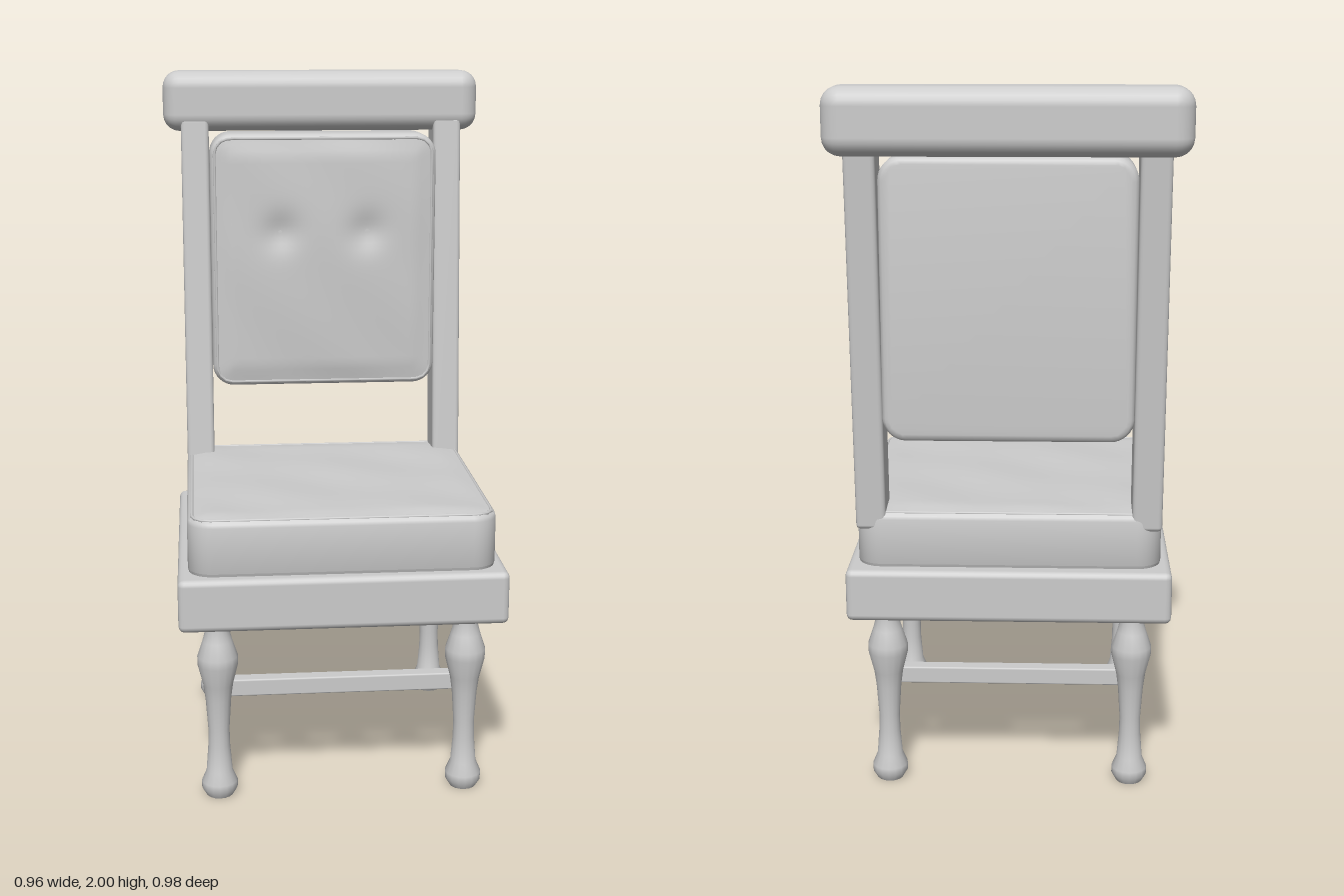
import * as THREE from 'three';
import { RoundedBoxGeometry } from 'three/addons/geometries/RoundedBoxGeometry.js';
import { toCreasedNormals } from 'three/addons/utils/BufferGeometryUtils.js';

const material = new THREE.MeshStandardMaterial({ color: 0xcccccc });

function addMesh(parent, name, geometry, x = 0, y = 0, z = 0) {
  const mesh = new THREE.Mesh(geometry, material);
  mesh.name = name;
  mesh.position.set(x, y, z);
  parent.add(mesh);
  return mesh;
}

function roundedRect(w, h, r) {
  const s = new THREE.Shape();
  const x = w / 2, y = h / 2;
  s.moveTo(-x + r, -y);
  s.lineTo(x - r, -y);
  s.absarc(x - r, -y + r, r, -Math.PI / 2, 0);
  s.lineTo(x, y - r);
  s.absarc(x - r, y - r, r, 0, Math.PI / 2);
  s.lineTo(-x + r, y);
  s.absarc(-x + r, y - r, r, Math.PI / 2, Math.PI);
  s.lineTo(-x, -y + r);
  s.absarc(-x + r, -y + r, r, Math.PI, Math.PI * 1.5);
  return s;
}

// Upholstered block facing +z: body from z = 0 to depth, piping and a soft, puffed face
function cushion(name, w, h, depth, bevel, radius, puff) {
  const group = new THREE.Group();
  group.name = name;
  const body = new THREE.ExtrudeGeometry(roundedRect(w - 2 * bevel, h - 2 * bevel, radius), {
    depth: depth - 2 * bevel, bevelSize: bevel, bevelThickness: bevel, bevelSegments: 3, curveSegments: 4,
  });
  addMesh(group, name + 'Body', toCreasedNormals(body, 0.7), 0, 0, bevel);

  const fw = w - 2 * bevel + 0.012, fh = h - 2 * bevel + 0.012;
  const edge = roundedRect(fw, fh, radius).getSpacedPoints(96).slice(0, -1)
    .map((p) => new THREE.Vector3(p.x, p.y, depth - 0.002));
  const path = new THREE.CatmullRomCurve3(edge, true);
  addMesh(group, name + 'Piping', new THREE.TubeGeometry(path, 128, 0.005, 6, true));

  // Grid pulled inside the rounded corners, then raised by the puff rule
  const face = new THREE.PlaneGeometry(fw, fh, 40, 40);
  const p = face.attributes.position;
  for (let i = 0; i < p.count; i++) {
    let x = p.getX(i), y = p.getY(i);
    const edgeGap = Math.min(fw / 2 - Math.abs(x), fh / 2 - Math.abs(y));
    const ox = Math.abs(x) - (fw / 2 - radius), oy = Math.abs(y) - (fh / 2 - radius);
    if (ox > 0 && oy > 0) {
      const k = Math.max(ox, oy) / Math.hypot(ox, oy);
      x = Math.sign(x) * (fw / 2 - radius + ox * k);
      y = Math.sign(y) * (fh / 2 - radius + oy * k);
    }
    p.setXYZ(i, x, y, depth + puff(x, y, Math.min(1, edgeGap / 0.05)));
  }
  face.computeVertexNormals();
  addMesh(group, name + 'Face', face);
  return group;
}

export function createModel() {
  const chair = new THREE.Group();
  chair.name = 'chair';

  // Seat frame
  addMesh(chair, 'seatFrame', new RoundedBoxGeometry(0.912, 0.15, 0.894, 2, 0.018), 0, 0.597, 0.04);

  // Seat cushion with faint diagonal creases
  const seat = cushion('seatCushion', 0.855, 0.82, 0.17, 0.02, 0.05,
    (x, y, e) => e * (0.006 + 0.003 * Math.sin(14 * (x + y)) * Math.cos(5 * (x - y))));
  seat.rotation.x = -Math.PI / 2;
  seat.position.set(0, 0.66, 0.045);
  chair.add(seat);

  // Upright back pad with two button dimples
  const dimple = (x, y) => Math.exp(-(x * x + y * y) / 0.0028);
  const back = cushion('backPad', 0.685, 0.77, 0.165, 0.02, 0.045, (x, y, e) =>
    e * (0.005 + 0.013 * Math.cos(x * 3.6) * Math.cos(y * 3.4) + 0.001 * Math.sin(18 * (x + y)))
    - 0.016 * (dimple(x - 0.13, y - 0.09) + dimple(x + 0.13, y - 0.09)));
  back.position.set(0, 1.433, -0.412);
  chair.add(back);

  // Raked back posts
  const post = new RoundedBoxGeometry(0.084, 1.08, 0.122, 2, 0.012);
  post.applyMatrix4(new THREE.Matrix4().set(1, 0, 0, 0, 0, 1, 0, 0, 0, -0.08, 1, 0, 0, 0, 0, 1));
  for (const s of [1, -1]) addMesh(chair, s > 0 ? 'leftPost' : 'rightPost', post, s * 0.385, 1.32, -0.344);

  // Crest rail
  addMesh(chair, 'crestRail', new RoundedBoxGeometry(0.96, 0.18, 0.168, 3, 0.05), 0, 1.91, -0.406);

  // Turned legs
  const profile = [
    [0, 0], [0.038, 0], [0.051, 0.022], [0.051, 0.042], [0.037, 0.075], [0.031, 0.15], [0.03, 0.2],
    [0.036, 0.29], [0.042, 0.335], [0.057, 0.395], [0.057, 0.42], [0.042, 0.465], [0.034, 0.495], [0.035, 0.53],
  ].map(([r, y]) => new THREE.Vector2(r, y));
  const leg = toCreasedNormals(new THREE.LatheGeometry(profile, 16), 0.9);
  for (const [side, x] of [['Left', 0.35], ['Right', -0.35]]) {
    addMesh(chair, 'front' + side + 'Leg', leg, x, 0, 0.39);
    addMesh(chair, 'back' + side + 'Leg', leg, x, 0, -0.308);
  }

  // Stretchers along the inner faces of the front and back leg pairs
  const stretcher = new RoundedBoxGeometry(0.7, 0.05, 0.044, 1, 0.005);
  addMesh(chair, 'frontStretcher', stretcher, 0, 0.31, 0.35);
  addMesh(chair, 'backStretcher', stretcher, 0, 0.31, -0.267);

  return chair;
}
